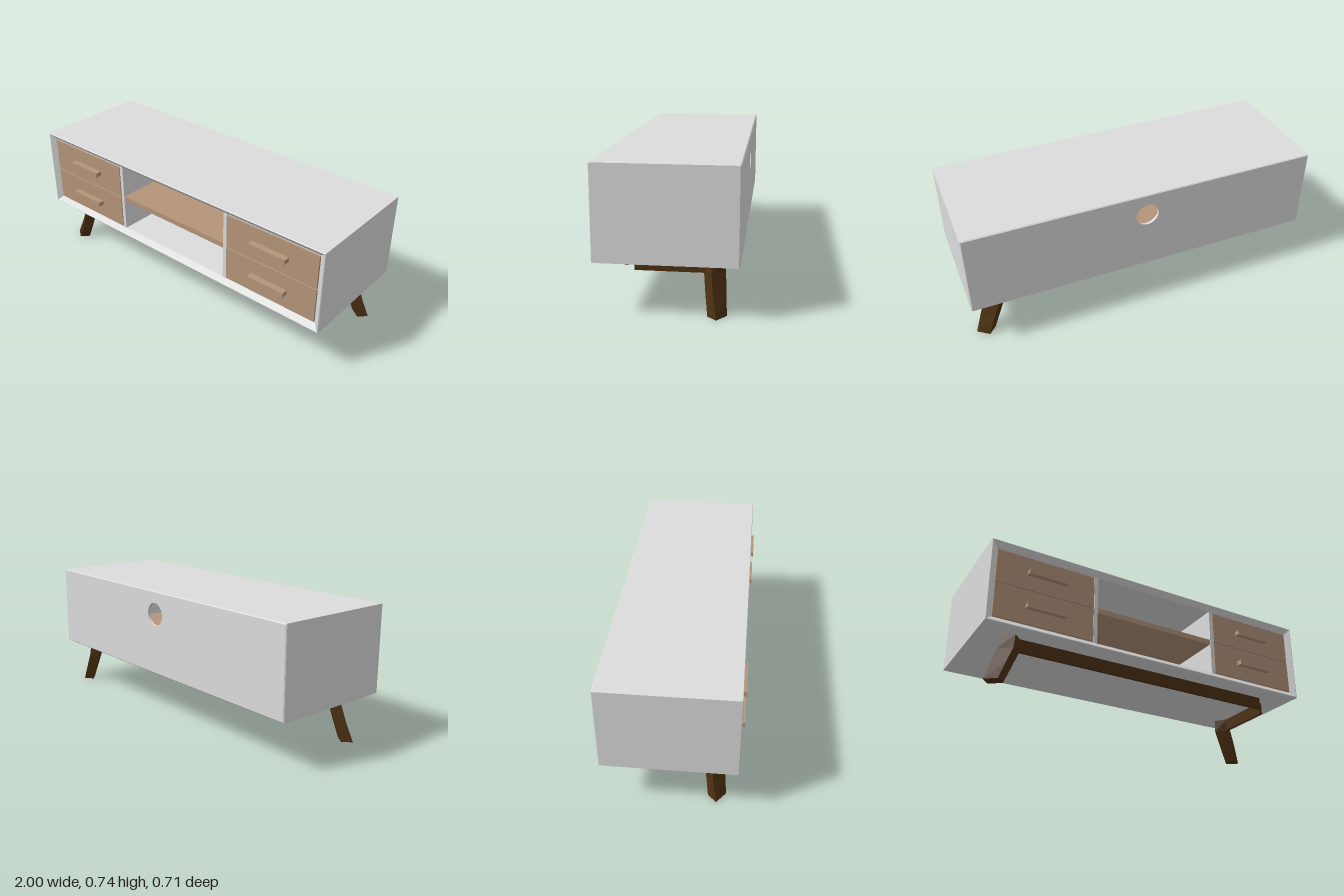
import * as THREE from 'three';

const mat = (name, color, extra = {}) => {
  const m = new THREE.MeshStandardMaterial({ color, ...extra });
  m.name = name;
  return m;
};

// Joins matching cross-sections (arrays of [x, y, z]) into a skin, with optional end caps
function loft(sections, capped) {
  const pos = [];
  const quad = (a, b, c, d) => pos.push(...a, ...b, ...c, ...a, ...c, ...d);
  const n = sections[0].length;
  for (let s = 0; s < sections.length - 1; s++) {
    const a = sections[s], b = sections[s + 1];
    for (let i = 0; i < n; i++) {
      const j = (i + 1) % n;
      quad(a[i], a[j], b[j], b[i]);
    }
  }
  if (capped) {
    const [p, q, r, t] = sections[0];
    quad(t, r, q, p);
    quad(...sections[sections.length - 1]);
  }
  const g = new THREE.BufferGeometry();
  g.setAttribute('position', new THREE.Float32BufferAttribute(pos, 3));
  g.computeVertexNormals();
  return g;
}

export function createModel() {
  const white = mat('whitePaint', 0xdcdcdc);
  const oak = mat('lightWood', 0xb5947a);
  const walnut = mat('darkWood', 0x4c3012);

  const model = new THREE.Group();
  model.name = 'mediaCabinet';
  const add = (name, geometry, material, parent = model) => {
    const m = new THREE.Mesh(geometry, material);
    m.name = name;
    parent.add(m);
    return m;
  };
  // Box given by its limits on each axis
  const box = (name, material, [x0, x1], [y0, y1], [z0, z1], parent) => {
    const m = add(name, new THREE.BoxGeometry(x1 - x0, y1 - y0, z1 - z0), material, parent);
    m.position.set((x0 + x1) / 2, (y0 + y1) / 2, (z0 + z1) / 2);
    return m;
  };

  // Outer shell with a bevelled front rim and hollow inside
  const frame = (inset, z) => {
    const x = 1 - inset, y0 = 0.265 + inset, y1 = 0.74 - inset;
    return [[-x, y0, z], [x, y0, z], [x, y1, z], [-x, y1, z]];
  };
  add('shell', loft([
    frame(0.005, -0.355), frame(0, -0.35), frame(0, 0.337), frame(0.003, 0.34),
    frame(0.006, 0.34), frame(0.035, 0.315), frame(0.035, -0.345),
  ]), white);

  // Back panel with round cable hole
  const back = new THREE.Shape([[-0.995, 0.27], [0.995, 0.27], [0.995, 0.735], [-0.995, 0.735]]
    .map(([x, y]) => new THREE.Vector2(x, y)));
  const hole = new THREE.Path();
  hole.absarc(0, 0.61, 0.065, 0, Math.PI * 2, true);
  back.holes.push(hole);
  add('backPanel', new THREE.ExtrudeGeometry(back, { depth: 0.015, bevelEnabled: false, curveSegments: 24 }), white)
    .position.z = -0.355;

  // Shelf in the open middle bay
  box('shelf', oak, [-0.375, 0.375], [0.485, 0.515], [-0.34, 0.315]);

  // Drawer bays, drawers and lipped handles on both sides
  for (const s of [-1, 1]) {
    const span = (a, b) => (s < 0 ? [-b, -a] : [a, b]);
    box('drawerBay', white, span(0.375, 0.965), [0.3, 0.705], [-0.34, 0.31]);
    box('divider', white, span(0.375, 0.397), [0.3, 0.705], [0.3, 0.318]);
    for (const [y0, y1, h] of [[0.305, 0.499, 0.39], [0.506, 0.697, 0.59]]) {
      const drawer = new THREE.Group();
      drawer.name = 'drawer';
      model.add(drawer);
      box('drawerFront', oak, span(0.4, 0.96), [y0, y1], [0.3, 0.32], drawer);
      box('handle', oak, span(0.565, 0.79), [h, h + 0.025], [0.318, 0.348], drawer);
      box('handleLip', oak, span(0.565, 0.79), [h - 0.005, h + 0.025], [0.347, 0.355], drawer);
    }
  }

  // Splayed legs set corner-on: height, then front, inner, back and outer corners as x, z
  const legSections = [
    [0, [-0.888, 0.277], [-0.845, 0.232], [-0.907, 0.185], [-0.95, 0.23]],
    [0.1, [-0.852, 0.271], [-0.805, 0.227], [-0.87, 0.172], [-0.915, 0.212]],
    [0.19, [-0.817, 0.266], [-0.77, 0.223], [-0.835, 0.162], [-0.885, 0.203]],
    [0.265, [-0.81, 0.262], [-0.77, 0.222], [-0.82, 0.16], [-0.86, 0.2]],
  ].map(([y, ...corners]) => corners.map(([x, z]) => [x, y, z]));
  const legGeometry = loft(legSections, true);
  add('frontRightLeg', legGeometry, walnut);
  const backLeg = add('backLeftLeg', legGeometry, walnut);
  backLeg.rotation.y = Math.PI;
  backLeg.position.set(0.03, 0, -0.015);

  // Rails under the cabinet
  box('frontRail', walnut, [-0.78, 0.8], [0.192, 0.265], [0.207, 0.222]);
  box('sideRail', walnut, [0.848, 0.865], [0.192, 0.265], [-0.18, 0.16]);

  return model;
}
